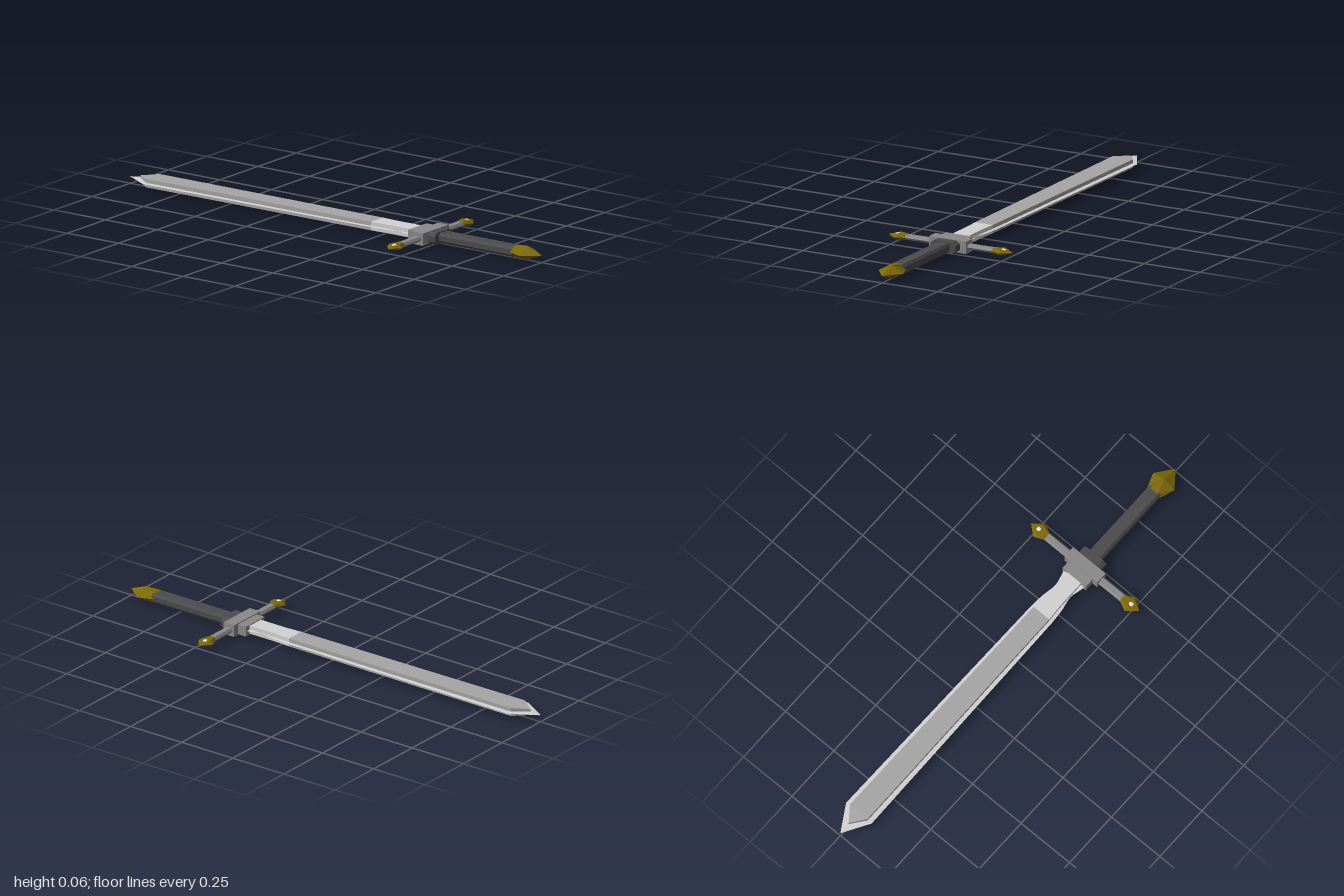
import * as THREE from 'three';

const mat = (name, color) => {
  const m = new THREE.MeshStandardMaterial({ color, flatShading: true });
  m.name = name;
  return m;
};

// Closed solid through rings of [x, y] corners, each ring at its own z
function loft(sections) {
  const pos = [];
  const tri = (a, b, c) => pos.push(...a, ...b, ...c);
  const rings = sections.map(([z, ring]) => ring.map(([x, y]) => [x, y, z]));
  const n = rings[0].length;
  for (let s = 0; s < rings.length - 1; s++) {
    for (let i = 0; i < n; i++) {
      const j = (i + 1) % n, p = rings[s], q = rings[s + 1];
      tri(p[i], p[j], q[j]);
      tri(p[i], q[j], q[i]);
    }
  }
  const first = rings[0], last = rings[rings.length - 1];
  for (let i = 1; i < n - 1; i++) {
    tri(last[0], last[i], last[i + 1]);
    tri(first[0], first[i + 1], first[i]);
  }
  const g = new THREE.BufferGeometry();
  g.setAttribute('position', new THREE.Float32BufferAttribute(pos, 3));
  g.computeVertexNormals();
  return g;
}

// Cross-sections given by half width and half height
const diamond = (w, h) => [[w, 0], [0, h], [-w, 0], [0, -h]];
const rect = (w, h) => [[w, -h], [w, h], [-w, h], [-w, -h]];
const hexagon = (w, h) => [[w, 0], [w * 0.6, h], [-w * 0.6, h], [-w, 0], [-w * 0.6, -h], [w * 0.6, -h]];
const octagon = (w, h) => {
  const a = w * 0.7, b = h * 0.5;
  return [[w, -b], [w, b], [a, h], [-a, h], [-w, b], [-w, -b], [-a, -h], [a, -h]];
};

export function createModel() {
  const steel = mat('steel', 0xa6a6a6);
  const bright = mat('brightSteel', 0xd2d2d2);
  const iron = mat('guardIron', 0x8a8a8a);
  const dark = mat('darkGrip', 0x4c4c4e);
  const gold = mat('gold', 0x7d690c);
  const white = mat('whiteGem', 0xf2f2f2);

  const sword = new THREE.Group();
  sword.name = 'sword';
  sword.position.y = 0.028;
  const add = (name, geo, material, parent = sword) => {
    const m = new THREE.Mesh(geo, material);
    m.name = name;
    parent.add(m);
    return m;
  };

  // Thin cutting edge, waisted near the guard
  const edge = [[-1, 0.0005], [-0.89, 0.066], [0.2, 0.054], [0.26, 0.05], [0.33, 0.037], [0.42, 0.06]];
  add('bladeEdge', loft(edge.map(([z, w]) => [z, diamond(w, z < -0.95 ? 0.001 : 0.005)])), bright);

  // Raised core and the brighter base of the blade
  add('bladeCore', loft([[-0.95, rect(0.001, 0.012)], [-0.89, rect(0.046, 0.017)],
    [0.2, rect(0.04, 0.017)]]), steel);
  add('bladeBase', loft([[0.2, rect(0.04, 0.017)], [0.27, rect(0.036, 0.017)],
    [0.41, rect(0.036, 0.017)]]), bright);

  // Guard block with collars
  add('bladeCollar', loft([[0.395, rect(0.06, 0.021)], [0.437, rect(0.06, 0.021)]]), iron);
  add('guardBlock', loft([[0.435, rect(0.084, 0.025)], [0.486, rect(0.084, 0.025)]]), iron);
  add('gripCollar', loft([[0.485, octagon(0.056, 0.024)], [0.522, octagon(0.056, 0.024)]]), dark);

  // Grip and pommel
  add('grip', loft([[0.52, octagon(0.03, 0.02)], [0.88, octagon(0.03, 0.02)]]), dark);
  add('pommel', loft([[0.87, hexagon(0.033, 0.02)], [0.93, diamond6(0.055, 0.028)],
    [1, diamond6(0.001, 0.001)]]), gold);

  // Cross arms with gold ends and gems
  for (const side of [-1, 1]) {
    const arm = new THREE.Group();
    arm.name = side > 0 ? 'leftArm' : 'rightArm';
    arm.position.z = 0.46;
    arm.rotation.y = side * Math.PI / 2;
    sword.add(arm);
    add('armBar', loft([[0.08, hexagon(0.018, 0.0095)], [0.205, hexagon(0.018, 0.0095)]]), iron, arm);
    add('armEnd', loft([[0.195, hexagon(0.018, 0.0105)], [0.235, hexagon(0.036, 0.0105)],
      [0.278, hexagon(0.001, 0.001)]]), gold, arm);
    const gem = add('gem', new THREE.SphereGeometry(0.016, 12, 8), white, arm);
    gem.position.z = 0.236;
    gem.scale.y = 0.75;
  }
  return sword;
}

// Ridged section: a diamond with six corners
function diamond6(w, h) {
  return [[w, 0], [w * 0.06, h], [-w * 0.06, h], [-w, 0], [-w * 0.06, -h], [w * 0.06, -h]];
}
